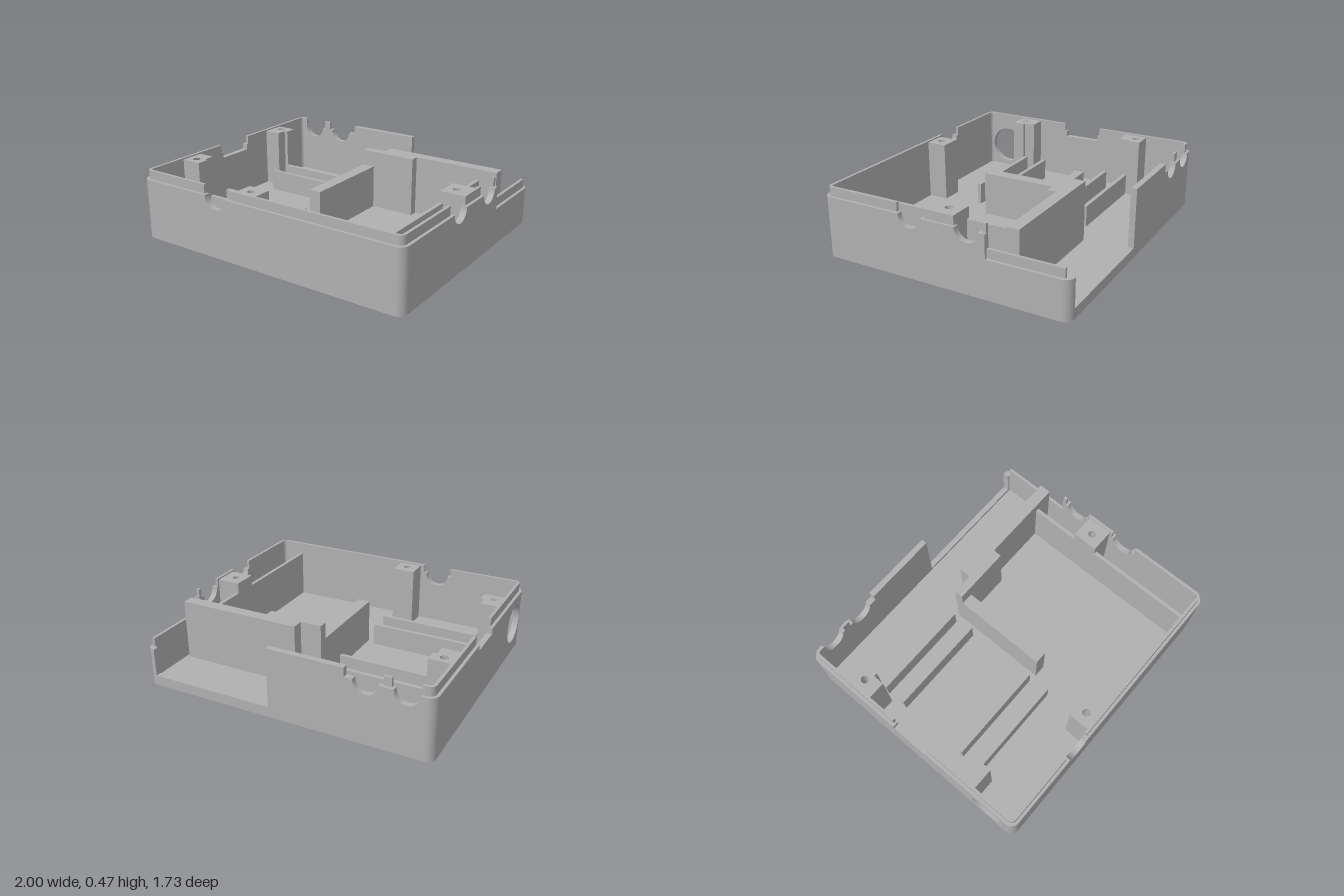
import * as THREE from 'three';
import { toCreasedNormals } from 'three/addons/utils/BufferGeometryUtils.js';

const W = 1, D = 0.863;               // half width and half depth
const FLOOR = 0.05, RIM = 0.415, TOP = 0.475;
const T = 0.04, R = 0.06;             // wall thickness, corner radius

export function createModel() {
  const model = new THREE.Group();
  model.name = 'openEnclosureBase';
  const grey = new THREE.MeshStandardMaterial({ color: 0xb0b0b0 });
  grey.name = 'grey plastic';

  const add = (name, geometry) => {
    const mesh = new THREE.Mesh(geometry, grey);
    mesh.name = name;
    model.add(mesh);
    return mesh;
  };
  const extrude = (shape, depth) => toCreasedNormals(
    new THREE.ExtrudeGeometry(shape, { depth, bevelEnabled: false, curveSegments: 20 }), 0.5);
  const circle = (x, y, r) => new THREE.Path().absarc(x, y, r, 0, Math.PI * 2, true);

  // Box given by its limits
  const box = (name, x0, x1, y0, y1, z0, z1) => {
    const g = new THREE.BoxGeometry(x1 - x0, y1 - y0, z1 - z0);
    g.translate((x0 + x1) / 2, (y0 + y1) / 2, (z0 + z1) / 2);
    return add(name, g);
  };
  // Plan shape (x, -z) raised from y0 to y1
  const plan = (name, shape, y0, y1) => {
    const g = extrude(shape, y1 - y0);
    g.rotateX(-Math.PI / 2);
    g.translate(0, y0, 0);
    return add(name, g);
  };
  // Wall elevation: top edge listed from high u to low u; [u, y] points or [u, y, r] round notches
  const wallShape = (u0, u1, top) => {
    const s = new THREE.Shape();
    s.moveTo(u0, FLOOR);
    s.lineTo(u1, FLOOR);
    for (const [u, y, r] of top) {
      if (r) {
        s.lineTo(u + r, y);
        s.absarc(u, y, r, 0, Math.PI, true);
      } else s.lineTo(u, y);
    }
    s.closePath();
    return s;
  };

  // Floor with counterbored screw holes
  const screws = [[-0.895, -0.47], [-0.895, 0.465], [0.87, 0], [-0.147, 0.755]];
  const cx = W - R, cz = D - R;
  const floor = new THREE.Shape();
  floor.absarc(cx, cz, R, 0, Math.PI / 2, false);
  floor.absarc(-cx, cz, R, Math.PI / 2, Math.PI, false);
  floor.absarc(-cx, -cz, R, Math.PI, Math.PI * 1.5, false);
  floor.absarc(cx, -cz, R, Math.PI * 1.5, Math.PI * 2, false);
  floor.closePath();
  screws.forEach(([x, z]) => floor.holes.push(circle(x, -z, 0.045)));
  plan('floor', floor, 0, FLOOR);

  // Four straight walls
  const front = wallShape(-cx, cx, [[cx, RIM], [-0.355, RIM, 0.083], [-cx, RIM]]);
  add('frontWall', extrude(front, T)).position.z = D - T;

  const back = wallShape(-cx, cx, [[cx, 0.07], [0.08, 0.07], [0.08, TOP], [-0.44, TOP],
    [-0.44, RIM], [-0.575, RIM, 0.08], [-0.83, RIM, 0.08], [-cx, RIM]]);
  add('backWall', extrude(back, T)).position.z = -D;

  const sideA = wallShape(-cz, cz, [[cz, RIM], [0.2, RIM, 0.08], [-0.2, RIM, 0.08],
    [-0.325, RIM], [-0.325, 0.26], [-cz, 0.26]]);
  const wallA = add('leftWall', extrude(sideA, T));
  wallA.rotation.y = -Math.PI / 2;
  wallA.position.x = W;

  const sideB = wallShape(-cz, cz, [[cz, RIM], [0.13, RIM], [0.13, 0.375],
    [-0.13, 0.375], [-0.13, RIM], [-cz, RIM]]);
  sideB.holes.push(circle(0.662, 0.22, 0.137));
  const wallB = add('rightWall', extrude(sideB, T));
  wallB.rotation.y = -Math.PI / 2;
  wallB.position.x = -W + T;

  // Rounded corners and the thinner lip standing on them
  const quarter = (sx, sz, rIn, rOut) => {
    const a = Math.atan2(-sz, sx) - Math.PI / 4;
    const s = new THREE.Shape();
    s.absarc(sx * cx, -sz * cz, rOut, a, a + Math.PI / 2, false);
    s.absarc(sx * cx, -sz * cz, rIn, a + Math.PI / 2, a, true);
    s.closePath();
    return s;
  };
  for (const sx of [-1, 1]) for (const sz of [-1, 1]) {
    const low = sx > 0 && sz < 0;
    plan('corner', quarter(sx, sz, R - T, R), FLOOR, low ? 0.26 : RIM);
    if (!low) plan('cornerLip', quarter(sx, sz, R - T, R - 0.02), RIM, TOP);
  }

  // Lip segments along the inner half of the walls
  for (const [a, b] of [[-cx, -0.46], [-0.255, cx]])
    box('frontLip', a, b, RIM, TOP, D - T, D - 0.02);
  for (const [a, b] of [[-cx, -0.91], [-0.73, -0.68]])
    box('backLip', a, b, RIM, TOP, -D + 0.02, -D + T);
  for (const [a, b] of [[0.3, cz], [-0.105, 0.105], [-0.325, -0.3]])
    box('leftLip', W - T, W - 0.02, RIM, TOP, a, b);
  box('leftLowLip', W - T, W - 0.02, 0.26, 0.32, -0.82, -0.325);
  for (const [a, b] of [[0.145, cz], [-cz, -0.145]])
    box('rightLip', -W + 0.02, -W + T, RIM, TOP, a, b);

  // Screw posts with through holes
  const post = (name, points, [x, z]) => {
    const s = new THREE.Shape(points.map(([px, pz]) => new THREE.Vector2(px, -pz)));
    s.holes.push(circle(x, -z, 0.026));
    plan(name, s, FLOOR, 0.465);
  };
  const rect = (x0, x1, z0, z1) => [[x0, z1], [x1, z1], [x1, z0], [x0, z0]];
  [-1, 1].forEach((s, i) => post('rightPost', [[-0.96, s * 0.362], [-0.84, s * 0.362],
    [-0.84, s * 0.44], [-0.815, s * 0.44], [-0.815, s * 0.527], [-0.96, s * 0.527]], screws[i]));
  post('leftPost', rect(0.795, 0.96, -0.09, 0.085), screws[2]);
  post('frontPost', rect(-0.225, -0.07, 0.68, 0.823), screws[3]);

  // Low parallel ribs
  for (const z of [-0.425, -0.265, 0.258, 0.418])
    box('rib', -0.815, -0.115, FLOOR, 0.2, z - 0.014, z + 0.014);

  // Inner partitions
  box('longDivider', -0.06, 0.025, FLOOR, 0.355, -0.375, 0.28);
  box('dividerBlock', -0.06, 0.34, FLOOR, 0.465, -0.435, -0.375);
  box('bayWall', 0.085, 0.94, FLOOR, 0.465, -0.515, -0.435);
  box('sidePartition', 0.795, 0.82, FLOOR, 0.39, -0.435, 0.823);

  return model;
}
